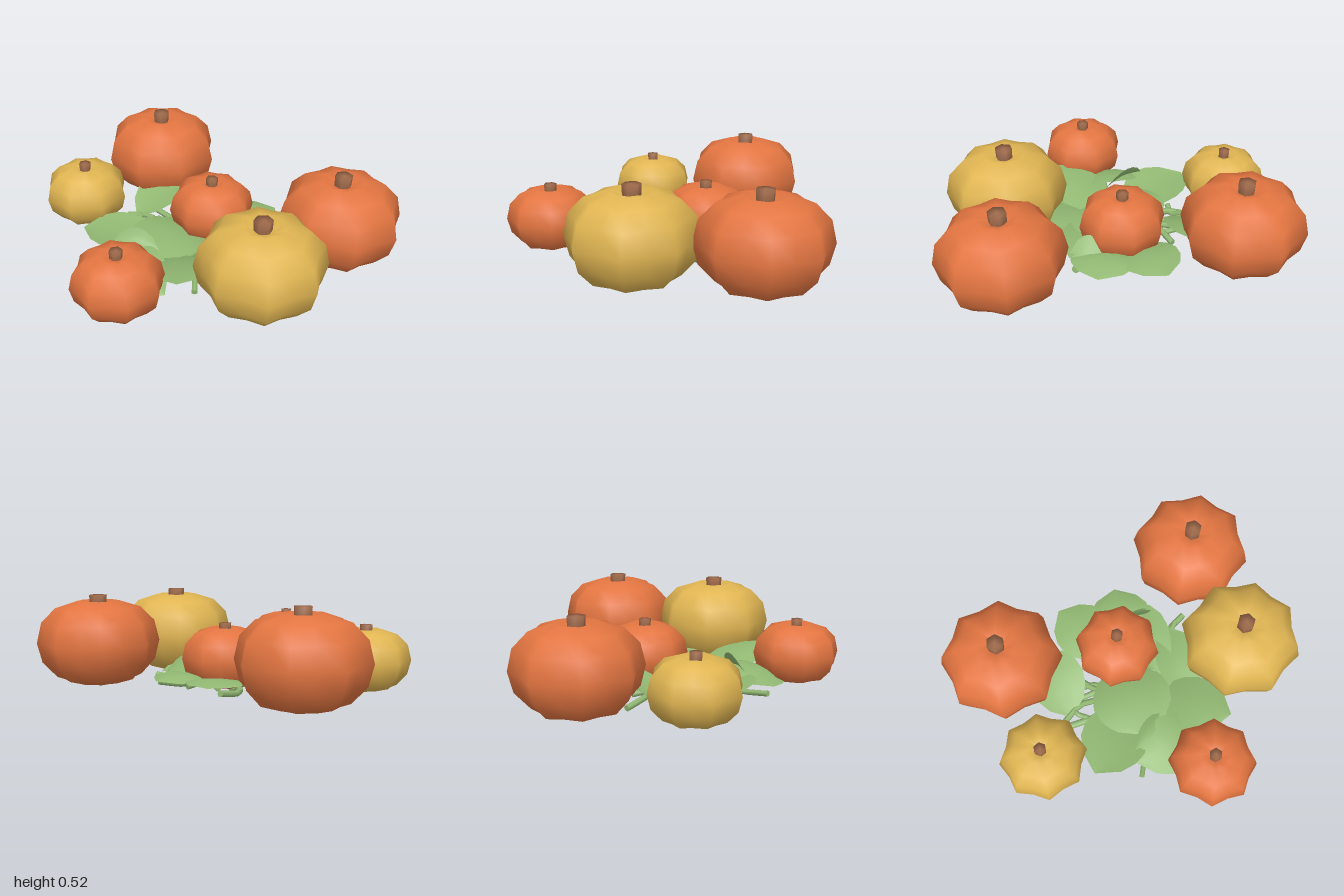
import * as THREE from 'three';
import { mergeVertices } from 'three/addons/utils/BufferGeometryUtils.js';

const mat = (name, color, side = THREE.FrontSide) => {
  const m = new THREE.MeshStandardMaterial({ color, side });
  m.name = name;
  return m;
};

// Weld all seams so that the shading runs smoothly over every edge
function smooth(geometry) {
  geometry.deleteAttribute('uv');
  geometry.deleteAttribute('normal');
  const g = mergeVertices(geometry, 1e-4);
  g.computeVertexNormals();
  return g;
}

// Ribbed body: a lathe whose radius swells and shrinks over eight lobes
function pumpkinGeometry() {
  const profile = [
    [0, 0.03], [0.16, 0.015], [0.36, 0], [0.69, 0.035], [0.92, 0.12], [1, 0.23],
    [0.92, 0.345], [0.69, 0.425], [0.34, 0.463], [0.13, 0.435], [0, 0.43],
  ].map(([r, y]) => new THREE.Vector2(r * 0.342, y));
  const lathe = new THREE.LatheGeometry(profile, 16);
  const p = lathe.attributes.position;
  for (let i = 0; i < p.count; i++) {
    const x = p.getX(i), z = p.getZ(i);
    const k = 0.94 + 0.06 * Math.cos(8 * Math.atan2(z, x));
    p.setX(i, x * k);
    p.setZ(i, z * k);
  }
  return smooth(lathe);
}

// Oval leaf: heading turns it (degrees, from +x towards +z), rise lifts the tip,
// arch bows it, tilt rolls it sideways and fold raises both edges
function leafGeometry({ at, heading, length, width, rise = 0, arch = 0.03, tilt = 0, fold = 0.02 }) {
  const g = new THREE.PlaneGeometry(1, 1, 4, 6);
  const p = g.attributes.position;
  const a = THREE.MathUtils.degToRad(heading), c = Math.cos(a), s = Math.sin(a);
  for (let i = 0; i < p.count; i++) {
    const t = p.getY(i) + 0.5, side = p.getX(i) * 2;
    const bow = Math.max(Math.sin(Math.PI * t), 0), bulge = Math.pow(bow, 0.6);
    const u = t * length, v = side * bulge * width / 2;
    const y = at[1] + rise * t + arch * bow + (tilt * side + fold * side * side) * bulge;
    p.setXYZ(i, at[0] + u * c - v * s, Math.max(y, 0.012), at[2] + u * s + v * c);
  }
  g.computeVertexNormals();
  return g;
}

export function createModel() {
  const model = new THREE.Group();
  model.name = 'pumpkinPatch';
  const orange = mat('pumpkinOrange', 0xe37541);
  const yellow = mat('pumpkinYellow', 0xe0b552);
  const brown = mat('stemBrown', 0xa26c4c);
  const green = mat('leafGreen', 0x92b973, THREE.DoubleSide);

  const add = (parent, name, geometry, material) => {
    const m = new THREE.Mesh(geometry, material);
    m.name = name;
    parent.add(m);
    return m;
  };

  // Pumpkins: x, z, scale, turn in degrees, colour
  const body = pumpkinGeometry();
  const stem = smooth(new THREE.CylinderGeometry(0.049, 0.045, 0.09, 6));
  [
    ['largeRightPumpkin', -0.668, -0.23, 1, 13, orange],
    ['largeBackPumpkin', 0.57, -0.573, 1, 30, orange],
    ['largeLeftPumpkin', 0.656, 0.055, 1, 34, yellow],
    ['smallRightPumpkin', -0.595, 0.36, 0.71, 7, yellow],
    ['smallCentrePumpkin', -0.017, -0.14, 0.71, 27, orange],
    ['smallFrontPumpkin', 0.28, 0.665, 0.71, 20, orange],
  ].forEach(([name, x, z, scale, turn, colour]) => {
    const pumpkin = new THREE.Group();
    pumpkin.name = name;
    add(pumpkin, 'body', body, colour);
    add(pumpkin, 'stem', stem, brown).position.y = 0.45;
    pumpkin.position.set(x, 0.026, z);
    pumpkin.scale.setScalar(scale);
    pumpkin.rotation.y = -THREE.MathUtils.degToRad(turn);
    model.add(pumpkin);
  });

  // Leaves
  const leaves = new THREE.Group();
  leaves.name = 'leaves';
  [
    { at: [0.05, 0.05, -0.18], heading: -84, length: 0.36, width: 0.37, rise: 0.04, arch: 0.05, fold: -0.03 },
    { at: [-0.06, 0.05, -0.16], heading: -123, length: 0.4, width: 0.35, rise: 0.05, arch: 0.04, fold: -0.02 },
    { at: [-0.38, 0.04, 0.15], heading: -97, length: 0.42, width: 0.32, rise: 0.12, arch: 0.04 },
    { at: [0.3, 0.04, 0.24], heading: -88, length: 0.46, width: 0.26, rise: 0.03, arch: 0.04 },
    { at: [0.19, 0.04, 0.08], heading: -82, length: 0.46, width: 0.18, rise: 0.06, arch: 0.03 },
    { at: [-0.03, 0.06, -0.08], heading: 88, length: 0.48, width: 0.46, rise: 0.03, arch: 0.05, fold: -0.02 },
    { at: [-0.02, 0.05, 0.2], heading: 136, length: 0.46, width: 0.38, rise: 0.07, arch: 0.02 },
    { at: [0.1, 0.05, 0.17], heading: 36, length: 0.46, width: 0.35, rise: 0.14, arch: 0.03, fold: -0.02 },
    { at: [0.36, 0.05, 0.44], heading: 170, length: 0.48, width: 0.32, rise: 0.04, arch: 0.06, tilt: 0.05, fold: -0.03 },
    { at: [0.1, 0.13, 0.3], heading: 140, length: 0.26, width: 0.07, rise: 0.02, tilt: 0.04 },
    { at: [0.06, 0.07, -0.37], heading: 10, length: 0.2, width: 0.13, rise: 0.03, tilt: 0.06 },
  ].forEach((spec, i) => add(leaves, 'leaf' + (i + 1), leafGeometry(spec), green));
  model.add(leaves);

  // Vines: start x, z, end x, z, sideways bend, radius
  const vines = new THREE.Group();
  vines.name = 'vines';
  [
    [0.0, 0.05, 0.44, -0.27, 0.03, 0.019], [0.05, -0.02, 0.38, -0.24, -0.04, 0.016],
    [0.1, 0.1, -0.4, 0.19, 0.04, 0.02], [-0.05, 0.0, -0.44, 0.17, -0.03, 0.018],
    [0.02, 0.1, -0.1, 0.6, 0.04, 0.016], [0.1, 0.0, 0.14, 0.48, -0.05, 0.018],
    [0.0, 0.1, 0.4, 0.28, 0.04, 0.017], [-0.1, 0.05, -0.55, -0.02, 0.04, 0.018],
    [-0.02, 0.12, -0.22, -0.36, 0.05, 0.018], [0.08, 0.05, 0.22, -0.42, 0.03, 0.02],
    [0.16, 0.2, 0.12, -0.3, 0.04, 0.016], [-0.24, 0.25, 0.2, 0.02, -0.04, 0.018],
    [-0.3, -0.1, 0.12, 0.24, 0.04, 0.018], [-0.08, -0.25, 0.32, 0.1, -0.04, 0.016],
    [-0.18, 0.32, -0.08, -0.16, -0.04, 0.018], [0.22, -0.05, -0.3, 0.05, 0.03, 0.017],
    [0.24, -0.12, 0.3, 0.1, 0.03, 0.015], [-0.36, 0.08, -0.27, 0.24, 0.02, 0.016],
  ].forEach(([x0, z0, x1, z1, bend, radius], i) => {
    const dx = x1 - x0, dz = z1 - z0, len = Math.hypot(dx, dz);
    const points = [0, 0.33, 0.67, 1].map((t, k) => {
      const off = bend * [0, 1, -0.6, 0][k] / len;
      return new THREE.Vector3(
        x0 + dx * t - dz * off, 0.021 + 0.012 * ((i + 2 * k) % 4), z0 + dz * t + dx * off);
    });
    const curve = new THREE.CatmullRomCurve3(points);
    add(vines, 'vine' + (i + 1), new THREE.TubeGeometry(curve, 8, radius, 6), green);
    // flat cut ends
    [0, 1].forEach((t) => {
      const cap = add(vines, 'vineEnd', new THREE.CircleGeometry(radius, 6), green);
      const end = curve.getPointAt(t);
      cap.position.copy(end);
      cap.lookAt(end.clone().addScaledVector(curve.getTangentAt(t), t ? 1 : -1));
    });
  });
  model.add(vines);
  return model;
}
